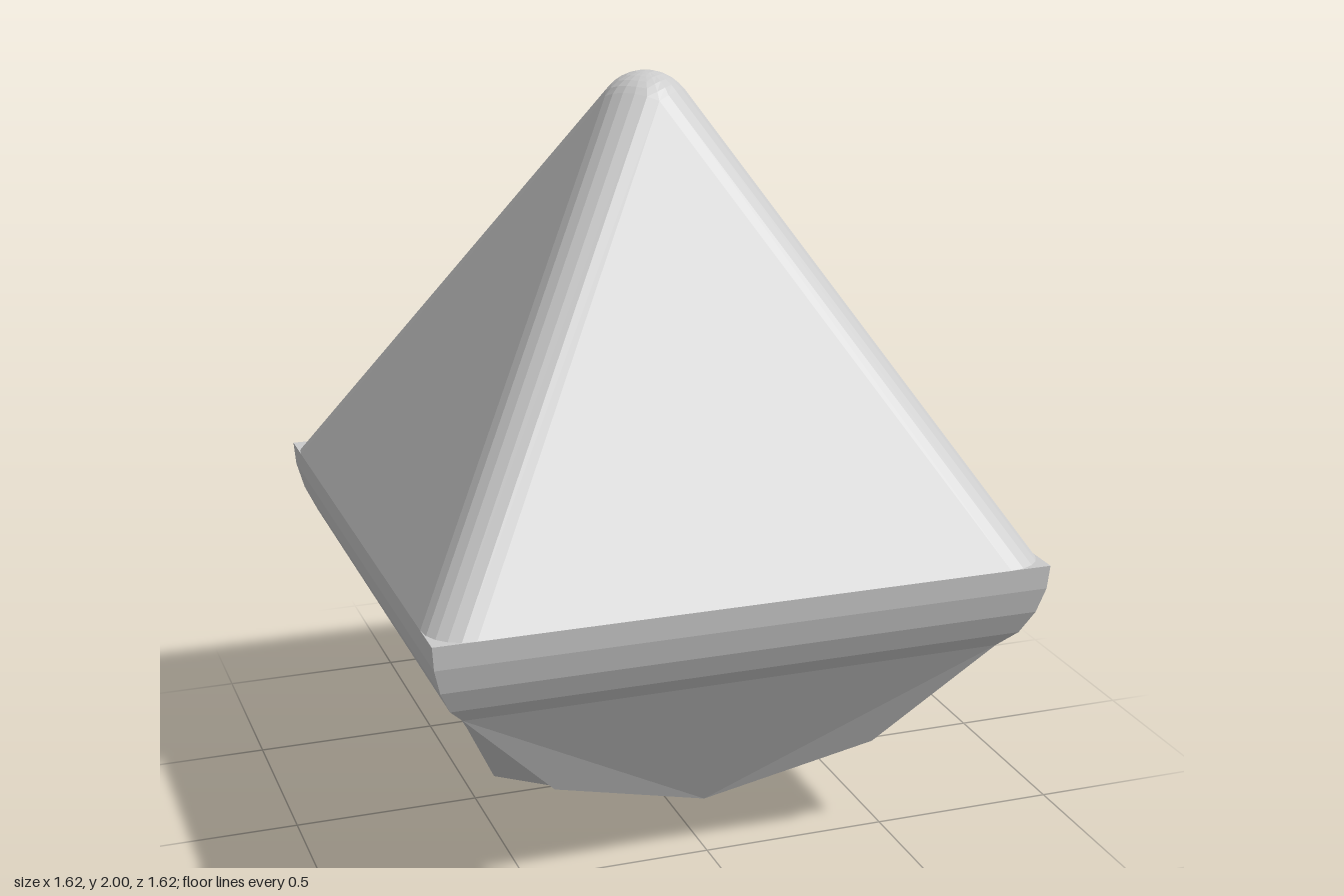
import * as THREE from 'three';

const V = (x, y, z) => new THREE.Vector3(x, y, z);
const CENTRE = V(0, 0.81, 0);

// Flat-shaded mesh from polygons; every polygon is fanned and turned outward.
function facetMesh(name, polygons) {
  const points = [];
  for (const p of polygons) {
    for (let i = 1; i < p.length - 1; i++) {
      const [a, b, c] = [p[0], p[i], p[i + 1]];
      const n = b.clone().sub(a).cross(c.clone().sub(a));
      if (n.length() < 1e-9) continue;
      const out = a.clone().add(b).add(c).divideScalar(3).sub(CENTRE);
      points.push(...(n.dot(out) < 0 ? [a, c, b] : [a, b, c]));
    }
  }
  const geometry = new THREE.BufferGeometry().setFromPoints(points);
  geometry.computeVertexNormals();
  const mesh = new THREE.Mesh(geometry, new THREE.MeshStandardMaterial({ color: 0xcccccc, flatShading: true }));
  mesh.name = name;
  return mesh;
}

// Quads joining closed rings of equal length
function loft(rings) {
  const quads = [];
  for (let r = 0; r < rings.length - 1; r++) {
    const [a, b] = [rings[r], rings[r + 1]];
    a.forEach((p, i) => {
      const j = (i + 1) % a.length;
      quads.push([p, a[j], b[j], b[i]]);
    });
  }
  return quads;
}

const quarterTurn = (p, k) => p.clone().applyAxisAngle(V(0, 1, 0), k * Math.PI / 2);
const RIM_Y = 0.82, RIM = 0.81;

// Pyramid with rounded ridges: a small ball at the tip swept down four edges
function pyramid() {
  const radius = 0.13, tip = V(0, 1.87, 0), steps = 5, capRings = 5;
  const n0 = V(0, 0.53, 0.848), n1 = V(0.848, 0.53, 0);
  const edge = V(0.7, -1.119, 0.7);
  const angle = n0.angleTo(n1);
  const base = [], dirs = [];
  for (let k = 0; k < 4; k++) {
    for (let i = 0; i <= steps; i++) {
      const t = i / steps;
      const n = n0.clone().multiplyScalar(Math.sin((1 - t) * angle))
        .addScaledVector(n1, Math.sin(t * angle)).normalize();
      const top = tip.clone().addScaledVector(n, radius);
      const foot = top.clone().addScaledVector(edge, (RIM_Y - top.y) / edge.y);
      dirs.push(quarterTurn(n, k));
      base.push(quarterTurn(foot, k));
    }
  }
  const rings = [base];
  for (let r = 0; r <= capRings; r++) {
    const s = 1 - r / capRings;
    rings.push(dirs.map((d) => {
      const polar = Math.acos(d.y) * s, heading = Math.atan2(d.x, d.z);
      return tip.clone().add(V().setFromSphericalCoords
        ? new THREE.Vector3().setFromSphericalCoords(radius, polar, heading) : d);
    }));
  }
  return facetMesh('pyramid', loft(rings));
}

// Curved square rim closed by a flat lid
function rim() {
  const profile = [[RIM, RIM_Y], [0.805, 0.757], [0.787, 0.688], [0.757, 0.624], [0.715, 0.577]];
  const rings = profile.map(([h, y]) => [0, 1, 2, 3].map((k) => quarterTurn(V(h, y, h), k)));
  return facetMesh('rim', [...loft(rings), rings[0]]);
}

// Faceted underside, one side and one corner repeated four times
function underside() {
  const corner = V(0.715, 0.577, 0.715), sideA = V(0.44, 0.28, 0.565), sideB = V(0.565, 0.28, 0.44);
  const midFront = V(0, 0.14, 0.475), midSide = V(0.475, 0.14, 0);
  const inner = V(0.29, 0.125, 0.29), nearFront = V(0, 0.05, 0.24), nearSide = V(0.24, 0.05, 0);
  const mirror = (p) => V(-p.x, p.y, p.z);
  const faces = [
    [midFront, sideA, corner, mirror(corner), mirror(sideA)],
    [corner, sideB, inner, sideA],
    [sideA, inner, nearFront, midFront],
    [sideB, midSide, nearSide, inner],
    [inner, nearSide, V(0, 0, 0), nearFront],
  ];
  const all = [0, 1, 2, 3].flatMap((k) => faces.map((f) => f.map((p) => quarterTurn(p, k))));
  return facetMesh('underside', all);
}

export function createModel() {
  const group = new THREE.Group();
  group.name = 'facetedGem';
  group.add(pyramid(), rim(), underside());
  return group;
}
